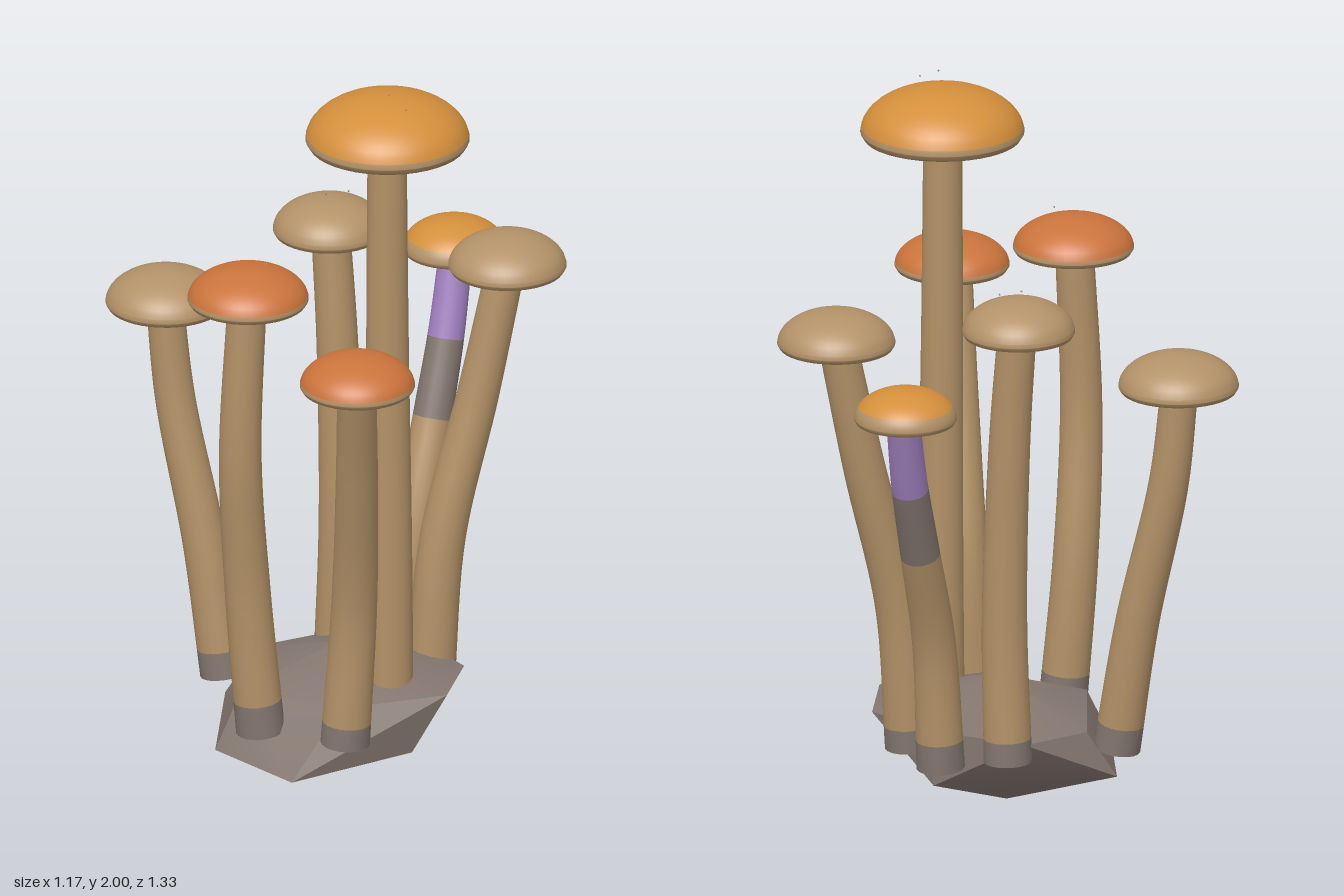
import * as THREE from 'three';
import { ConvexGeometry } from 'three/addons/geometries/ConvexGeometry.js';
import { toCreasedNormals } from 'three/addons/utils/BufferGeometryUtils.js';

const mat = (name, color) => {
  const m = new THREE.MeshStandardMaterial({ color, side: THREE.DoubleSide });
  m.name = name;
  return m;
};
const tan = mat('tan', 0xb39268);
const amber = mat('amber', 0xd48f3c);
const orange = mat('orange', 0xcb743c);
const grey = mat('earthGrey', 0x83766f);
const purple = mat('purple', 0xa181c0);
const green = mat('gillGreen', 0x35694f);

const V = (x, y, z) => new THREE.Vector3(x, y, z);

function add(parent, name, geometry, material) {
  const m = new THREE.Mesh(geometry, material);
  m.name = name;
  parent.add(m);
  return m;
}

// Tapered bent stem; bands = [material, upper y limit] from the ground up
function makeStem(parent, path, r0, r1, bands) {
  const curve = new THREE.CatmullRomCurve3(path.map(p => V(...p)));
  const segs = 56, sides = 20;
  const geo = new THREE.TubeGeometry(curve, segs, 1, sides);
  const pos = geo.attributes.position;
  const v = V(0, 0, 0);
  for (let i = 0; i <= segs; i++) {
    const c = curve.getPointAt(i / segs);
    const r = THREE.MathUtils.lerp(r0, r1, i / segs);
    for (let j = 0; j <= sides; j++) {
      const k = i * (sides + 1) + j;
      v.fromBufferAttribute(pos, k).sub(c).multiplyScalar(r).add(c);
      pos.setXYZ(k, v.x, v.y, v.z);
    }
  }
  for (let i = 0; i < segs; i++) {
    const y = curve.getPointAt((i + 0.5) / segs).y;
    const b = bands.findIndex(band => y < band[1]);
    geo.addGroup(i * sides * 6, sides * 6, b);
  }
  add(parent, 'stem', geo, bands.map(b => b[0]));
  // closing disc under the stem
  const foot = add(parent, 'stemFoot', new THREE.CircleGeometry(r0, sides), bands[0][0]);
  foot.position.copy(curve.getPointAt(0));
  foot.lookAt(foot.position.clone().sub(curve.getTangentAt(0)));
}

// Domed cap: gill disc, rolled rim and coloured crown
function makeCap(parent, x, z, r, y, top, crownMat, crownStart) {
  const h = top - y, rim = h * 0.17;
  const dome = (a0, a1) => Array.from({ length: 13 }, (_, i) => {
    const a = THREE.MathUtils.lerp(a0, a1, i / 12);
    return new THREE.Vector2(Math.max(0, r * Math.cos(a)), rim + (h - rim) * Math.sin(a));
  });
  const P = (a, b) => new THREE.Vector2(a * r, b * h);
  const cap = new THREE.Group();
  cap.name = 'cap';
  cap.position.set(x, y, z);
  add(cap, 'gills', new THREE.LatheGeometry([P(0, 0), P(0.62, 0)], 40), green);
  add(cap, 'rim', new THREE.LatheGeometry(
    [P(0.62, 0), P(0.85, 0.02), P(0.96, 0.07), ...dome(0, crownStart)], 40), tan);
  add(cap, 'crown', new THREE.LatheGeometry(dome(crownStart, Math.PI / 2), 40), crownMat);
  parent.add(cap);
}

const plain = [[grey, 0.27], [tan, 9]];
const mushrooms = [
  { name: 'tallMushroom', cap: [0.257, 0.095, 0.218, 1.82, 1.968, amber, 0.13], r: [0.065, 0.052],
    path: [[0.265, 0.2, 0.1], [0.265, 0.7, 0.1], [0.26, 1.3, 0.1], [0.257, 1.84, 0.097]] },
  { name: 'frontMushroom', cap: [0.033, 0.43, 0.161, 1.435, 1.54, orange, 0.13], r: [0.065, 0.052],
    path: [[0.04, 0.19, 0.38], [0.012, 0.6, 0.4], [0.015, 1, 0.44], [0.03, 1.45, 0.43]] },
  { name: 'frontLeftMushroom', cap: [0.428, 0.507, 0.153, 1.305, 1.407, orange, 0.13], r: [0.066, 0.052],
    path: [[0.285, 0.2, 0.345], [0.31, 0.6, 0.34], [0.37, 1, 0.42], [0.425, 1.32, 0.505]] },
  { name: 'rightMushroom', cap: [-0.427, 0.12, 0.16, 1.207, 1.317, tan, 0.13], r: [0.063, 0.05],
    path: [[-0.25, 0.19, 0.11], [-0.31, 0.55, 0.11], [-0.4, 0.95, 0.115], [-0.43, 1.22, 0.12]] },
  { name: 'backRightMushroom', cap: [-0.09, -0.158, 0.15, 1.395, 1.503, tan, 0.13], r: [0.065, 0.052],
    path: [[-0.05, 0.2, -0.14], [-0.04, 0.6, -0.14], [-0.06, 1.1, -0.15], [-0.085, 1.41, -0.157]] },
  { name: 'backLeftMushroom', cap: [0.372, -0.313, 0.157, 1.342, 1.45, tan, 0.13], r: [0.066, 0.052],
    path: [[0.24, 0.2, -0.14], [0.26, 0.6, -0.17], [0.32, 1, -0.25], [0.37, 1.36, -0.31]] },
  { name: 'backMushroom', cap: [0.062, -0.532, 0.137, 1.245, 1.344, amber, 0.42], r: [0.065, 0.045],
    path: [[0.09, 0.2, -0.26], [0.095, 0.55, -0.29], [0.09, 0.85, -0.39], [0.085, 1.05, -0.46], [0.075, 1.26, -0.522]],
    bands: [[grey, 0.27], [tan, 0.83], [grey, 1.03], [purple, 9]] },
];

export function createModel() {
  const model = new THREE.Group();
  model.name = 'mushroomCluster';

  // Faceted rock at the foot
  const rock = new ConvexGeometry([
    V(0.07, 0.003, 0.1),
    V(-0.265, 0.12, 0.08), V(-0.09, 0.11, 0.4), V(0.2, 0.11, 0.475), V(0.37, 0.12, 0.15), V(0.14, 0.12, -0.2),
    V(-0.2, 0.25, 0.03), V(-0.06, 0.26, 0.32), V(0.24, 0.27, 0.3), V(0.435, 0.275, 0.08),
    V(0.36, 0.27, -0.12), V(0.15, 0.275, -0.205), V(-0.1, 0.25, -0.14),
    V(0.09, 0.352, 0.09),
  ]);
  add(model, 'rock', toCreasedNormals(rock, 0.6), grey);

  for (const m of mushrooms) {
    const g = new THREE.Group();
    g.name = m.name;
    makeStem(g, m.path, ...m.r, m.bands || plain);
    makeCap(g, ...m.cap);
    model.add(g);
  }

  // Tiny floating spores
  const spores = [[0.29, 1.997, 0.14], [0.35, 1.97, 0.15], [0.085, 1.56, 0.42],
    [-0.09, 1.52, -0.14], [-0.05, 1.52, -0.19]];
  for (const p of spores) {
    add(model, 'spore', new THREE.IcosahedronGeometry(0.003, 0), tan).position.set(...p);
  }
  return model;
}
